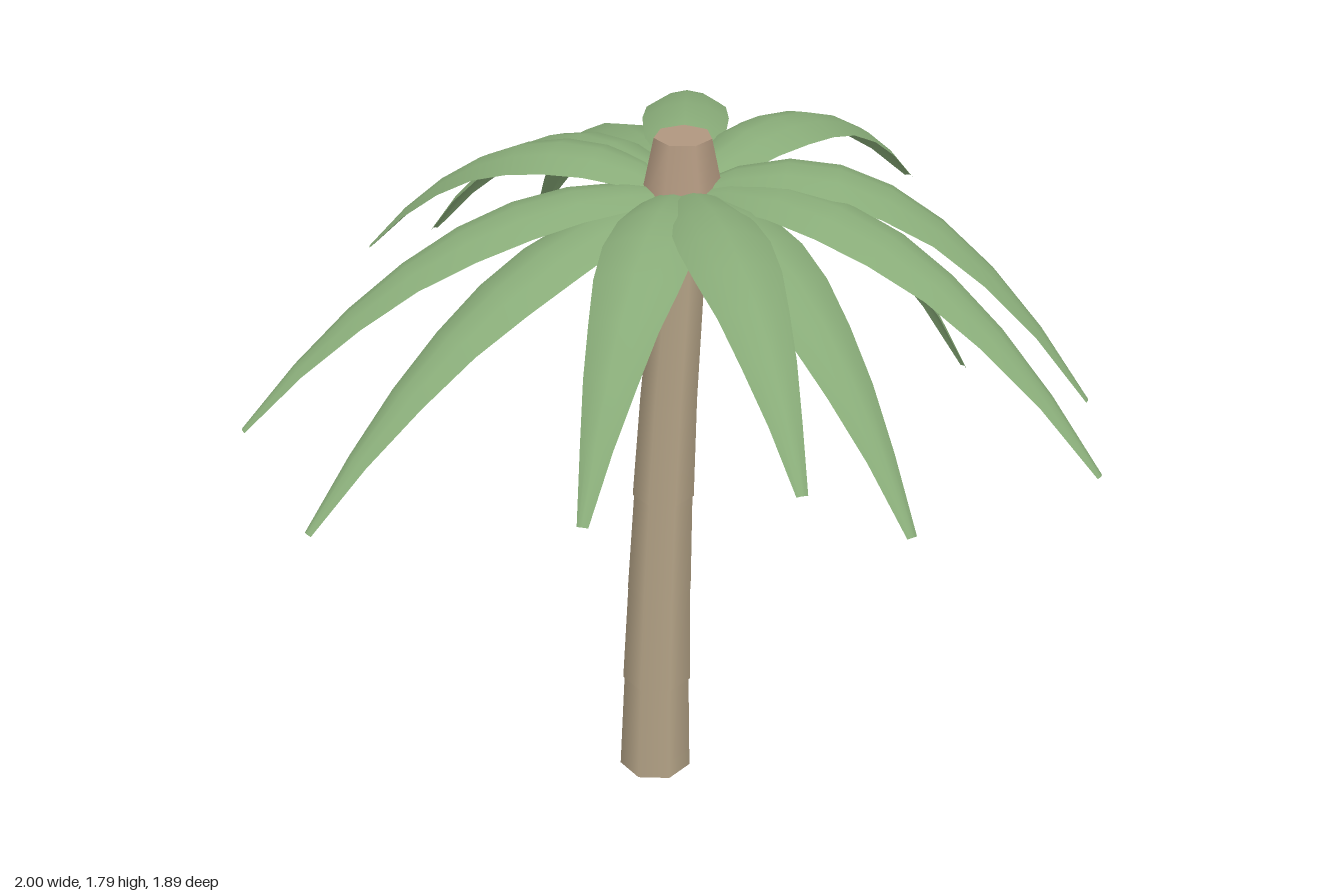
import * as THREE from 'three';

export function createModel() {
  const tree = new THREE.Group();
  tree.name = 'palmTree';

  const bark = new THREE.MeshStandardMaterial({ color: 0xb2a185 });
  bark.name = 'bark';
  const crownBark = new THREE.MeshStandardMaterial({ color: 0xb0977f });
  crownBark.name = 'crownBark';
  const leaf = new THREE.MeshStandardMaterial({ color: 0x88ab78, side: THREE.DoubleSide });
  leaf.name = 'leaf';

  const CX = 0.02, CZ = 0.032;

  // Seven-sided tapered drum whose top is shifted sideways so the trunk leans
  function drum(name, material, y0, y1, r0, r1, x0, x1) {
    const geo = new THREE.CylinderGeometry(r1, r0, y1 - y0, 7);
    geo.rotateY(Math.PI);
    const pos = geo.attributes.position;
    for (let i = 0; i < pos.count; i++) {
      const t = pos.getY(i) / (y1 - y0) + 0.5;
      pos.setX(i, pos.getX(i) + x0 + (x1 - x0) * t);
    }
    geo.translate(0, (y0 + y1) / 2, CZ);
    const mesh = new THREE.Mesh(geo, material);
    mesh.name = name;
    tree.add(mesh);
  }

  // Stacked trunk segments, each flaring out over the one below
  const centres = [-0.052, -0.047, -0.039, -0.028, -0.014, 0.006, 0.02];
  const radii = [0.095, 0.09, 0.083, 0.079, 0.072, 0.066];
  const step = 0.278;
  radii.forEach((r, i) => {
    drum(`trunkSegment${i + 1}`, bark, i * step, (i + 1) * step, r, r * 0.91, centres[i], centres[i + 1]);
  });

  // Crown knob that holds the fronds
  drum('crown', crownBark, 1.585, 1.795, 0.115, 0.07, CX, CX);

  // Half width of a frond from base to tip
  const widths = [[0, 0.045], [0.15, 0.085], [0.33, 0.11], [0.5, 0.1], [0.75, 0.062], [1, 0.013]];
  function halfWidth(t) {
    let i = 0;
    while (i < widths.length - 2 && t > widths[i + 1][0]) i++;
    const [t0, w0] = widths[i], [t1, w1] = widths[i + 1];
    return w0 + (w1 - w0) * (t - t0) / (t1 - t0);
  }

  // Arched frond with drooping edges, ending at (x, y, z); rise is its starting slope
  function frond(name, x, y, z, rise) {
    const base = 1.66;
    const fall = base - y + rise;
    const dx = x - CX, dz = z - CZ;
    const len = Math.hypot(dx, dz);
    const ux = dx / len, uz = dz / len;
    const geo = new THREE.PlaneGeometry(2, 1, 4, 8);
    const pos = geo.attributes.position;
    for (let i = 0; i < pos.count; i++) {
      const s = pos.getX(i);
      const t = pos.getY(i) + 0.5;
      const w = halfWidth(t);
      // Droop follows the frond's own normal
      const slope = (rise - 2 * fall * t) / len;
      const n = Math.hypot(1, slope);
      const droop = 0.38 * w * s * s;
      const along = t * len + droop * slope / n;
      const height = base + rise * t - fall * t * t - droop / n;
      pos.setXYZ(i, CX + ux * along - uz * s * w, height, CZ + uz * along + ux * s * w);
    }
    geo.computeVertexNormals();
    const mesh = new THREE.Mesh(geo, leaf);
    mesh.name = name;
    tree.add(mesh);
  }

  // Frond tips and starting slopes, going round the crown
  [
    [-0.415, 1.19, -0.95, 0.35],
    [0.0, 1.42, -0.935, 0.48],
    [0.595, 1.42, -0.655, 0.5],
    [0.75, 0.985, -0.4, 0.31],
    [1.0, 1.175, 0.135, 0.6],
    [0.99, 1.175, 0.505, 0.45],
    [0.55, 1.18, 0.8, 0.3],
    [0.305, 1.36, 0.94, 0.38],
    [-0.165, 1.23, 0.87, 0.33],
    [-0.8, 1.095, 0.7, 0.13],
    [-1.0, 1.185, 0.385, 0.31],
    [-0.78, 1.38, -0.24, 0.48],
    [-0.655, 1.32, -0.485, 0.45],
  ].forEach(([x, y, z, rise], i) => frond(`frond${i + 1}`, x, y, z, rise));

  return tree;
}
